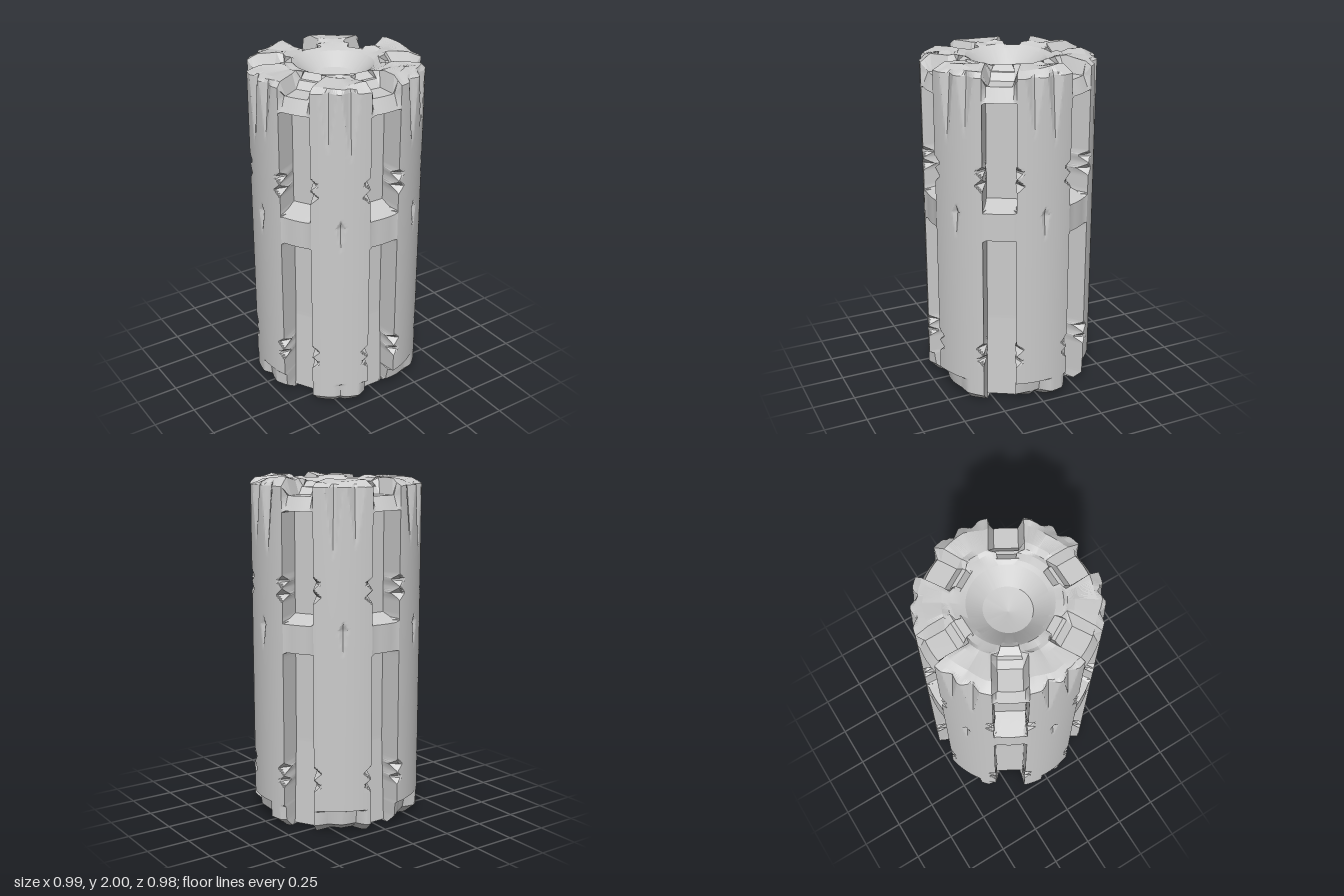
import * as THREE from 'three';
import { toCreasedNormals } from 'three/addons/utils/BufferGeometryUtils.js';

const SECTORS = 6, R = 0.495, RIM = 1.95, FLOOR = 8.9, EDGE = 10.9, DEEP = 0.345;
const RAD = Math.PI / 180;
const material = new THREE.MeshStandardMaterial({ color: 0xcccccc });

// Column angles of one sector, in degrees from the middle of its groove
const columns = [-FLOOR, -4.5, 0, 4.5, FLOOR, EDGE];
for (let i = 1; i <= 30; i++) columns.push(EDGE + i * (60 - 2 * EDGE) / 30);

const hash = (n) => { const s = Math.sin(n * 127.1 + 3.7) * 43758.5453; return s - Math.floor(s); };
const lerp = THREE.MathUtils.lerp;

// Seeded zigzag around the column, 0 to 1, straight between knots
function zigzag(angle, step, seed) {
  const count = 360 / step, t = (((angle % 360) + 360) % 360) / step, k = Math.floor(t);
  return lerp(hash((k % count) + seed), hash(((k + 1) % count) + seed), t - k);
}

// Signed angle from the nearest groove
const fromGroove = (angle) => angle - 60 * Math.round(angle / 60);
const inGroove = (angle) => Math.abs(fromGroove(angle)) <= FLOOR + 0.01;

// Groove floor at each height: lower groove, bridge, sloped ledge, upper groove, bevelled lintel
function grooveFloor(y) {
  if (y < 1.015) return lerp(0.37, DEEP, Math.min(1, y / 0.5));
  if (y < 1.04) return lerp(DEEP, 0.487, (y - 1.015) / 0.025);
  if (y < 1.2) return 0.487;
  if (y < 1.24) return lerp(0.487, DEEP, (y - 1.2) / 0.04);
  if (y < 1.815) return DEEP;
  return lerp(0.492, 0.455, Math.min(1, (y - 1.815) / 0.085));
}

// Point in a groove with parallel side walls: [radius, angle]
function groovePoint(angle, depth, halfWidth) {
  const a = fromGroove(angle), side = a / FLOOR * halfWidth;
  const out = Math.sqrt(depth * depth - side * side * (depth > 0.45 ? 1 : 0));
  return [Math.hypot(out, side), angle - a + Math.atan2(side, out) / RAD];
}

// Wedge-shaped cuts on the ribs: [angle from groove, tip y, wide y, half width, depth]
const wedges = [
  [24, 1.54, 1.96, 6, 0.035], [38, 1.6, 1.96, 6, 0.03], [30, 1.03, 1.18, 3.2, 0.018],
];
const nicks = [1.435, 1.36, 0.36, 0.285];

function ribRadius(angle, y) {
  const a = Math.abs(fromGroove(angle));
  const sector = Math.floor((angle + 0.01) / 60);
  let local = angle - sector * 60, r = R;
  if (sector % 2) local = 60 - local;
  for (const [at, y0, y1, width, depth] of wedges) {
    const t = (y - y0) / (y1 - y0);
    // the low cracks close again above their widest point
    const open = t < 1 ? t : y1 > 1.9 ? 1 : 1 - (t - 1) * 3;
    const d = Math.abs(local - at) / (width * Math.max(open, 0.01));
    if (open > 0 && d < 1) r -= depth * open * (1 - d);
  }
  // small nicks along the groove edges
  for (const c of nicks) {
    const d = Math.abs(y - c) / 0.034 + (a - EDGE) / 5;
    if (d < 1) r -= 0.07 * (1 - d);
  }
  // broken foot with a small overhang above it, and a bevel at the bottom
  if (y < 0.14) r -= 0.09 * Math.max(0, zigzag(angle, 10, 11) - 0.35) * (1.2 - y / 0.3);
  if (y < 0.05) r -= (0.05 - y) * (0.7 + 0.9 * zigzag(angle, 12, 40));
  return r;
}

// Surface woven from rows around the column; point(angle, row) gives [radius, y, angle]
function band(name, rows, crease, point) {
  const positions = [], index = [], n = columns.length * SECTORS;
  for (const row of rows) {
    for (let s = 0; s < SECTORS; s++) {
      for (const c of columns) {
        const [r, y, angle] = point(s * 60 + c, row);
        positions.push(r * Math.sin(angle * RAD), y, r * Math.cos(angle * RAD));
      }
    }
  }
  for (let j = 0; j < rows.length - 1; j++) {
    for (let i = 0; i < n; i++) {
      const a = j * n + i, b = j * n + (i + 1) % n;
      index.push(a, b, b + n, a, b + n, a + n);
    }
  }
  const geometry = new THREE.BufferGeometry();
  geometry.setAttribute('position', new THREE.Float32BufferAttribute(positions, 3));
  geometry.setIndex(index);
  const mesh = new THREE.Mesh(toCreasedNormals(geometry, crease), material);
  mesh.name = name;
  return mesh;
}

// Shaft wall; the grooves stop at a lintel below the rim
function shaftPoint(angle, y) {
  if (!inGroove(angle)) return [ribRadius(angle, y), y, angle];
  const depth = grooveFloor(y);
  const [r, a] = groovePoint(angle, depth, depth > 0.45 ? 0.074 : 0.087);
  return [r, Math.min(y, 1.9), a];
}

// Crown: chipped rim, six stepped notches and a faceted bowl
// row = [radius, y, roughness, y in the notch]
const crownRows = [
  [R, RIM, 0, 1.9], [0.465, 1.98, 0.02, 1.9], [0.43, 2, 0.03, 1.9], [0.335, 1.995, 0.025, 1.9],
  [0.3, 1.99, 0.02, 1.94], [0.28, 1.985, 0.02, 1.94], [0.24, 1.975, 0.015, 1.97],
  [0.215, 1.96, 0.01], [0.13, 1.89, 0.03], [0, 1.845, 0],
];
function crownPoint(angle, row) {
  const [radius, height, rough, notch] = row;
  if (row === crownRows[0]) return shaftPoint(angle, RIM);
  if (notch && inGroove(angle)) {
    const [r, a] = groovePoint(angle, Math.min(radius, 0.455), 0.064);
    return [r, notch, a];
  }
  const y = height - rough * zigzag(angle, radius < 0.25 ? 60 : 15, Math.round(radius * 100));
  if (radius < 0.29) return [radius, y, angle];
  // notch sides run parallel, so the ribs narrow towards the bowl
  const edge = Math.asin(0.093 / radius) / RAD, a = fromGroove(angle);
  const squeezed = Math.sign(a) * (30 - (30 - Math.abs(a)) * (30 - edge) / (30 - EDGE));
  const wobble = radius > 0.4 ? 0.03 * (zigzag(angle, 15, 70) - 0.5) : 0;
  return [Math.min(radius + wobble, ribRadius(angle, RIM) - (R - radius) * 0.2), y, angle - a + squeezed];
}

// Underside: flat broken ring around a faceted bowl; row = [radius, y, roughness]
const footRows = [[0, 0.15, 0], [0.13, 0.1, 0.03], [0.235, 0.015, 0.015], [0.3, 0, 0.01], [R, 0, 0]];
function footPoint(angle, [radius, height, rough]) {
  const [edge, , edgeAngle] = shaftPoint(angle, 0);
  if (radius >= edge) return [edge, 0, edgeAngle];
  return [radius, height + rough * zigzag(angle, 60, Math.round(radius * 90)), angle];
}

export function createModel() {
  const group = new THREE.Group();
  group.name = 'stoneColumn';
  const shaftRows = Array.from({ length: 196 }, (_, i) => i * 0.01);
  group.add(
    band('columnShaft', shaftRows, 0.4, shaftPoint),
    band('columnCrown', crownRows, 0.2, crownPoint),
    band('columnUnderside', footRows, 0.2, footPoint),
  );
  return group;
}
